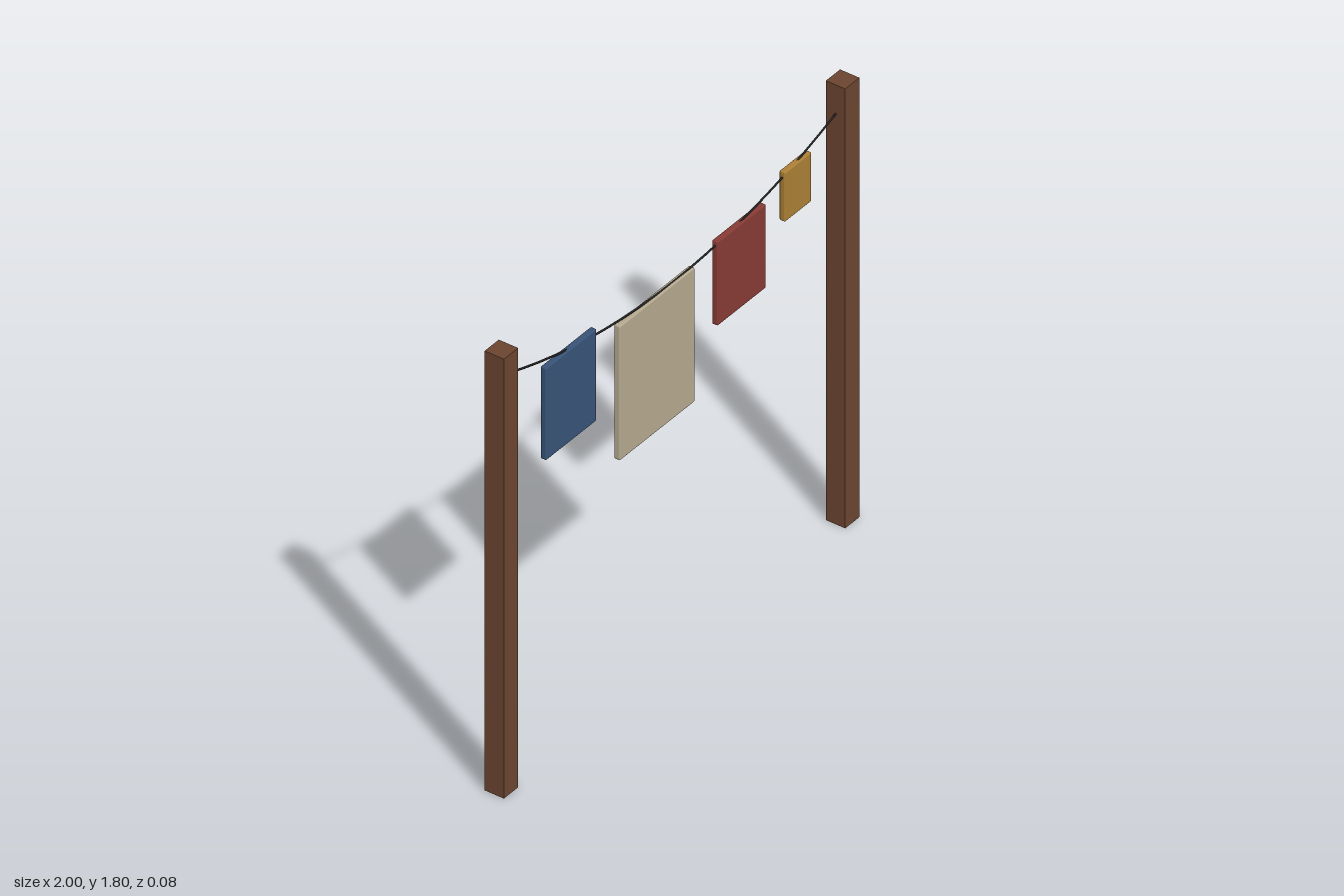
import * as THREE from 'three';
import { RoundedBoxGeometry } from 'three/addons/geometries/RoundedBoxGeometry.js';

const material = (name, color) => {
  const m = new THREE.MeshStandardMaterial({ color });
  m.name = name;
  return m;
};

export function createModel() {
  const group = new THREE.Group();
  group.name = 'clothesline';
  const wood = material('brown wood', 0x6b4530);
  const cord = material('dark cord', 0x222222);

  const add = (name, geometry, mat, x = 0, y = 0, z = 0) => {
    const mesh = new THREE.Mesh(geometry, mat);
    mesh.name = name;
    mesh.position.set(x, y, z);
    group.add(mesh);
  };

  // Square posts
  for (const [name, side] of [['leftPost', 1], ['rightPost', -1]]) {
    add(name, new THREE.BoxGeometry(0.08, 1.8, 0.08), wood, side * 0.96, 0.9);
  }

  // Sagging line between the inner faces of the posts
  const sag = new THREE.QuadraticBezierCurve3(
    new THREE.Vector3(-0.925, 1.682, 0),
    new THREE.Vector3(0, 1.358, 0),
    new THREE.Vector3(0.925, 1.682, 0)
  );
  add('line', new THREE.TubeGeometry(sag, 20, 0.004, 6), cord);

  // Hanging cloths: name, colour, left edge, right edge, bottom, top
  const cloths = [
    ['blueCloth', 0x385377, -0.725, -0.44, 1.213, 1.59],
    ['creamCloth', 0xb5a98f, -0.31, 0.113, 0.973, 1.522],
    ['redCloth', 0x873a34, 0.24, 0.513, 1.208, 1.551],
    ['mustardCloth', 0xac7f36, 0.619, 0.769, 1.415, 1.617],
  ];
  for (const [name, color, x0, x1, y0, y1] of cloths) {
    const geometry = new RoundedBoxGeometry(x1 - x0, y1 - y0, 0.024, 2, 0.005);
    add(name, geometry, material(name + ' colour', color), (x0 + x1) / 2, (y0 + y1) / 2);
  }
  return group;
}
